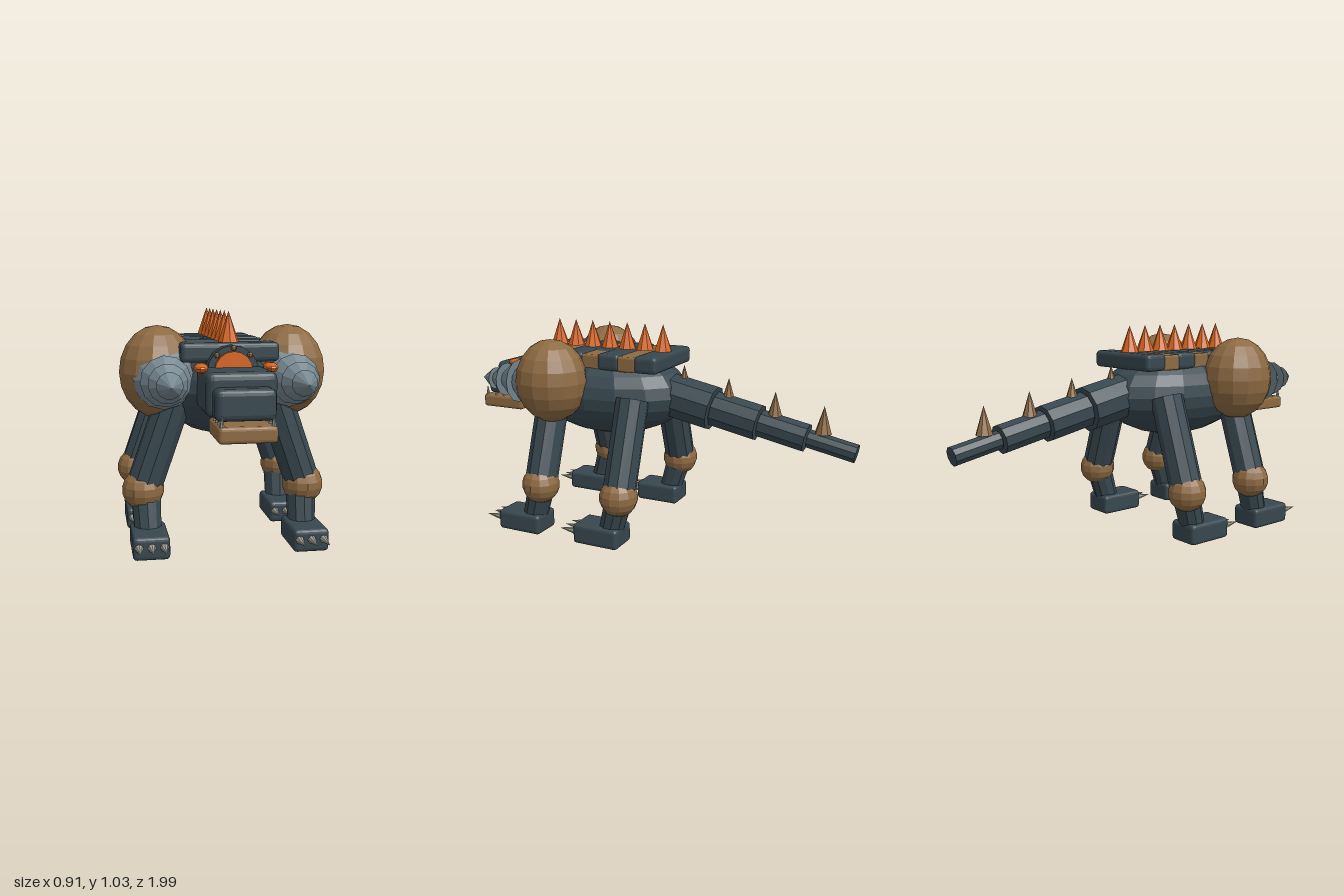
import * as THREE from 'three';
import { RoundedBoxGeometry } from 'three/addons/geometries/RoundedBoxGeometry.js';

const mat = (name, color) => {
  const m = new THREE.MeshStandardMaterial({ color, flatShading: true });
  m.name = name;
  return m;
};

export function createModel() {
  const model = new THREE.Group();
  const slate = mat('slate hide', 0x37474f);
  const brown = mat('brown armour', 0x8d6a42);
  const orange = mat('orange glow', 0xd8651c);
  const steel = mat('drill steel', 0x74858e);
  const bone = mat('bone claw', 0x9e9e92);

  const add = (name, geometry, material, x, y, z) => {
    const mesh = new THREE.Mesh(geometry, material);
    mesh.name = name;
    mesh.position.set(x, y, z);
    model.add(mesh);
    return mesh;
  };
  const ball = (name, material, p, r, w = 14, h = 10) => {
    const mesh = add(name, new THREE.SphereGeometry(1, w, h), material, ...p);
    mesh.scale.set(...r);
    return mesh;
  };
  const box = (name, material, p, s, r = 0.02) =>
    add(name, new RoundedBoxGeometry(...s, 2, r), material, ...p);
  const cone = (name, material, p, r, h, forward = false, sides = 8) => {
    const mesh = add(name, new THREE.ConeGeometry(r, h, sides), material, ...p);
    if (forward) mesh.rotation.x = Math.PI / 2;
    return mesh;
  };
  // Cylinder running between two points
  const limb = (name, material, from, to, rTop, rBottom, sides = 10) => {
    const a = new THREE.Vector3(...from), b = new THREE.Vector3(...to);
    const dir = a.clone().sub(b);
    const mid = a.clone().add(b).multiplyScalar(0.5);
    const mesh = add(name, new THREE.CylinderGeometry(rTop, rBottom, dir.length(), sides), material, mid.x, mid.y, mid.z);
    mesh.quaternion.setFromUnitVectors(new THREE.Vector3(0, 1, 0), dir.normalize());
    return mesh;
  };

  // Torso
  ball('body', slate, [0, 0.69, 0.27], [0.275, 0.218, 0.42], 16, 12);

  // Back plates with a row of spikes
  for (let i = 0; i < 7; i++) {
    const z = -0.025 + i * 0.0985;
    if (i % 2) box('brownBackPlate', brown, [0, 0.86, z], [0.41, 0.074, 0.1], 0.01);
    else box('darkBackPlate', slate, [0, 0.864, z], [0.42, 0.082, 0.118], 0.02);
    cone('backSpike', orange, [0, 0.97, z], 0.045, 0.13);
  }

  // Tail segments, each with a spike
  [0.11, 0.088, 0.068, 0.045].forEach((r, i) => {
    const z = -0.185 - i * 0.231, y = 0.667 - i * 0.0465;
    limb('tailSegment', slate, [0, y + 0.023, z + 0.112], [0, y - 0.023, z - 0.112], r, r);
    cone('tailSpike', brown, [0, 0.78 - i * 0.045, -0.14 - i * 0.231], 0.04, 0.13);
  });

  // Head
  box('neck', slate, [0, 0.72, 0.57], [0.24, 0.17, 0.2], 0.03);
  box('skull', slate, [0, 0.72, 0.735], [0.285, 0.178, 0.29], 0.03);
  box('snout', slate, [0, 0.69, 0.875], [0.24, 0.125, 0.16], 0.025);
  box('lowerJaw', brown, [0, 0.583, 0.872], [0.232, 0.066, 0.245], 0.015);

  // Crest disc above the brow, studded with rivets
  const ring = add('crestRing', new THREE.CylinderGeometry(0.108, 0.108, 0.08, 16), slate, 0, 0.79, 0.635);
  ring.rotation.x = Math.PI / 2;
  const core = add('crestCore', new THREE.CylinderGeometry(0.08, 0.08, 0.03, 16), orange, 0, 0.795, 0.68);
  core.rotation.x = Math.PI / 2;
  for (let i = 0; i < 8; i++) {
    const a = (i * Math.PI) / 4;
    ball('crestRivet', brown, [0.098 * Math.sin(a), 0.79 + 0.098 * Math.cos(a), 0.685], [0.012, 0.012, 0.012], 6, 5);
  }

  for (const s of [1, -1]) {
    // Face details
    ball('eye', orange, [s * 0.143, 0.813, 0.735], [0.03, 0.021, 0.056], 10, 8);
    cone('fang', bone, [s * 0.1, 0.622, 0.975], 0.017, 0.085);
    for (const z of [0.92, 0.87, 0.82]) cone('sideTooth', bone, [s * 0.1, 0.625, z], 0.011, 0.04, false, 6);

    // Shoulder with stepped drill
    ball('shoulder', brown, [s * 0.29, 0.77, 0.437], [0.167, 0.202, 0.177]);
    [[0.565, 0.13, 0.15], [0.64, 0.108, 0.13], [0.72, 0.083, 0.1], [0.785, 0.055, 0.075]].forEach(([z, r, h], i) => {
      const tier = cone('drillTier', steel, [s * 0.274, 0.75, z + h / 2], r, h, true, 12);
      tier.rotation.y = i * 0.1;
    });
    limb('drillBase', steel, [s * 0.274, 0.75, 0.57], [s * 0.274, 0.75, 0.5], 0.12, 0.12, 12);

    // Legs: front pair, then hind pair
    for (const [pair, z] of [['front', 0.475], ['hind', 0.037]]) {
      limb(pair + 'UpperLeg', slate, [s * 0.21, 0.695, z], [s * 0.363, 0.255, z], 0.08, 0.08);
      ball(pair + 'Knee', brown, [s * 0.362, 0.255, z], [0.093, 0.093, 0.093], 12, 9);
      limb(pair + 'LowerLeg', slate, [s * 0.352, 0.255, z], [s * 0.346, 0.06, z + 0.055], 0.068, 0.06);
      box(pair + 'Foot', slate, [s * 0.345, 0.053, z + 0.105], [0.157, 0.1, 0.24], 0.018);
      for (const dx of [-0.053, 0, 0.053])
        cone(pair + 'Claw', bone, [s * 0.345 + dx, 0.06, z + 0.265], 0.019, 0.09, true);
    }
  }
  return model;
}
